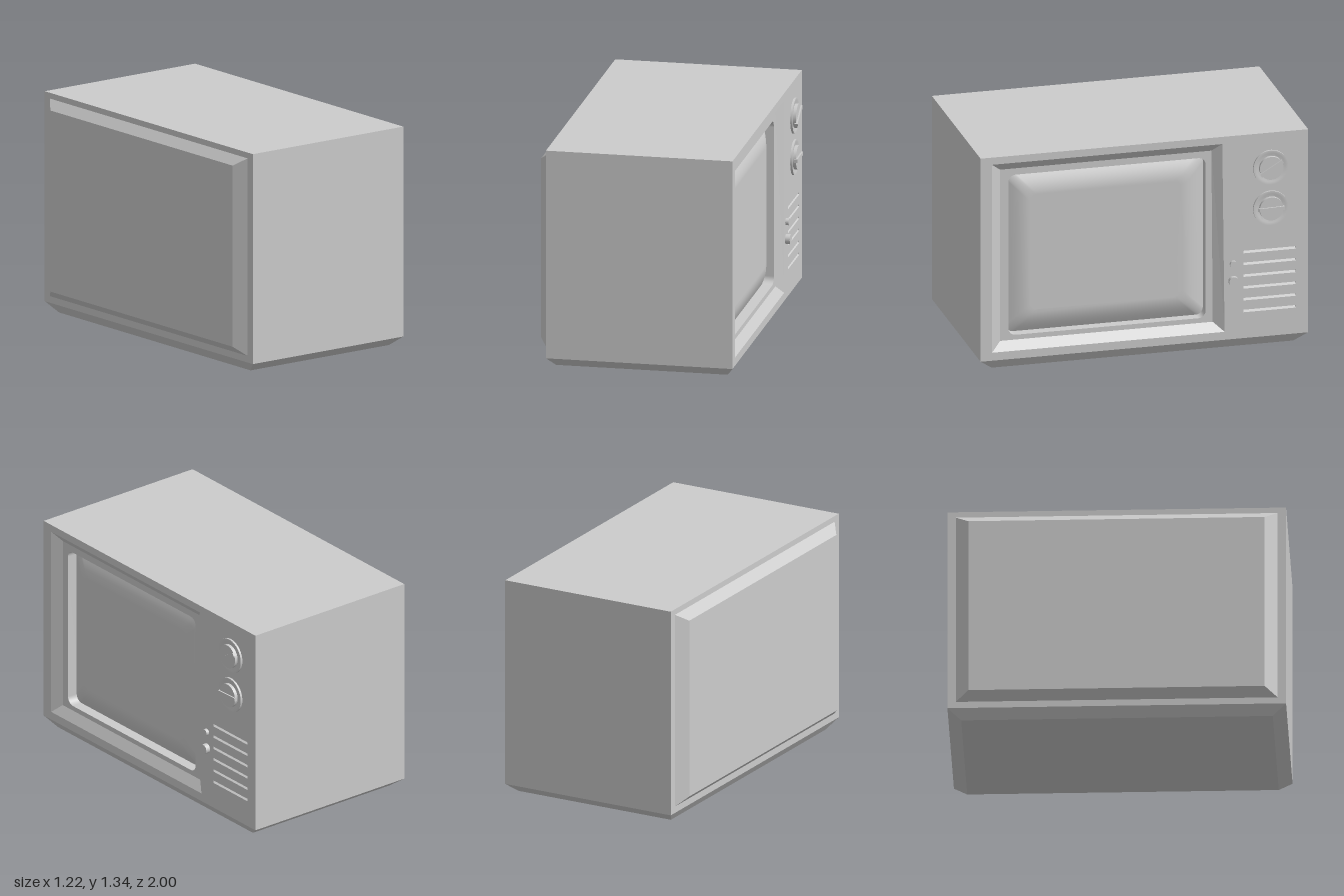
import * as THREE from 'three';
import { toCreasedNormals } from 'three/addons/utils/BufferGeometryUtils.js';

const material = new THREE.MeshStandardMaterial({ color: 0xcccccc });
const FACE = 0.57, BACK = -0.555, LEDGE = 0.53, SCREEN = 0.465;

// Corner lists, counter-clockwise as [u, v]
const rect = (u0, u1, v0, v1) => [[u0, v0], [u1, v0], [u1, v1], [u0, v1]];

function roundedRect(u0, u1, v0, v1, r, steps = 6) {
  const points = [];
  const centres = [[u1 - r, v0 + r], [u1 - r, v1 - r], [u0 + r, v1 - r], [u0 + r, v0 + r]];
  centres.forEach(([cu, cv], k) => {
    for (let i = 0; i <= steps; i++) {
      const a = (k - 1 + i / steps) * Math.PI / 2;
      points.push([cu + r * Math.cos(a), cv + r * Math.sin(a)]);
    }
  });
  return points;
}

// Place a corner list at a depth (facing forward) or at a height (facing up)
const atDepth = (points, z) => points.map(([u, v]) => [u, v, z]);
const atHeight = (points, y) => points.map(([u, v]) => [u, y, -v]);

// Skin a series of matching closed loops, with optional end caps
function loft(loops, { start = false, end = false, smooth = false } = {}) {
  const n = loops[0].length, last = (loops.length - 1) * n, index = [];
  for (let i = 0; i < loops.length - 1; i++) {
    for (let j = 0; j < n; j++) {
      const a = i * n + j, b = i * n + (j + 1) % n;
      index.push(a, b, b + n, a, b + n, a + n);
    }
  }
  for (let j = 1; j < n - 1; j++) {
    if (start) index.push(0, j + 1, j);
    if (end) index.push(last, last + j, last + j + 1);
  }
  let geometry = new THREE.BufferGeometry();
  geometry.setAttribute('position', new THREE.Float32BufferAttribute(loops.flat(2), 3));
  geometry.setIndex(index);
  if (!smooth) geometry = geometry.toNonIndexed();
  geometry.computeVertexNormals();
  return geometry;
}

// Flat forward-facing panel with openings
function panel(outline, holes, z) {
  const toVectors = (points) => points.map(([u, v]) => new THREE.Vector2(u, v));
  const shape = new THREE.Shape(toVectors(outline));
  holes.forEach((hole) => shape.holes.push(new THREE.Path(toVectors(hole))));
  return new THREE.ShapeGeometry(shape).translate(0, 0, z);
}

export function createModel() {
  const model = new THREE.Group();
  model.name = 'television';
  // The set is built facing +z, then turned to face +x
  const set = new THREE.Group();
  set.name = 'televisionSet';
  set.rotation.y = Math.PI / 2;
  model.add(set);

  const add = (name, geometry, parent = set) => {
    const mesh = new THREE.Mesh(geometry, material);
    mesh.name = name;
    parent.add(mesh);
    return mesh;
  };

  // Outlines on the front face
  const body = rect(-1, 1, 0.06, 1.335);
  const bezelOuter = [[-0.93, 0.11], [0.49, 0.11], [0.476, 1.29], [-0.93, 1.29]];
  const bezelInner = [[-0.87, 0.165], [0.428, 0.165], [0.42, 1.24], [-0.87, 1.24]];
  const opening = (inset) =>
    roundedRect(-0.82 + inset, 0.385 - inset, 0.195 + inset, 1.2 - inset, 0.045);
  const slots = [];
  for (let i = 0; i < 6; i++) {
    const v = 0.6 - i * 0.074;
    slots.push(rect(0.605, 0.925, v - 0.008, v + 0.008));
  }

  // Cabinet, tapered base and raised back cover
  add('cabinet', loft([atDepth(body, BACK), atDepth(body, FACE)], { start: true }));
  add('base', loft([
    atHeight(rect(-0.92, 0.92, -0.525, 0.51), 0),
    atHeight(rect(-1, 1, -FACE, -BACK), 0.06),
  ], { start: true }));
  add('backCover', loft([
    atDepth(rect(-0.875, 0.875, 0.15, 1.25), -0.61),
    atDepth(rect(-0.95, 0.95, 0.1, 1.3), BACK),
  ], { start: true }));
  add('frontPanel', panel(body, [bezelOuter, ...slots], FACE));

  // Sunken bezel, ledge and screen well
  add('bezel', loft([atDepth(bezelOuter, FACE), atDepth(bezelInner, LEDGE)]));
  add('screenLedge', panel(bezelInner, [opening(0)], LEDGE));
  add('screenWell', loft([atDepth(opening(0), LEDGE), atDepth(opening(0), SCREEN)], { smooth: true }));

  // Pillow-shaped screen
  const screenLoops = [];
  for (let i = 0; i <= 8; i++) {
    const t = i / 8;
    const rise = 0.045 * Math.sin(t * Math.PI / 2);
    screenLoops.push(atDepth(opening(0.14 * t), SCREEN + rise));
  }
  add('screen', loft(screenLoops, { end: true, smooth: true }));

  // Speaker slots, each with a floor ramping back and up
  slots.forEach((slot) => {
    const top = slot[2][1];
    add('speakerSlot', loft([
      atDepth(slot, FACE),
      atDepth(slot.map(([u]) => [u, top]), FACE - 0.03),
    ]));
  });

  // Tuning dials with a stepped rim and a grip bar
  const dialProfile = [
    [0.107, 0], [0.107, 0.013], [0.09, 0.013], [0.077, 0.008],
    [0.072, 0.008], [0.072, 0.028], [0, 0.028],
  ].map(([r, h]) => new THREE.Vector2(r, h));
  [[1.12, 0.54], [0.865, 0.03]].forEach(([v, angle]) => {
    const dial = new THREE.Group();
    dial.name = 'dial';
    dial.position.set(0.77, v, FACE);
    dial.rotation.z = angle;
    set.add(dial);
    const knob = new THREE.LatheGeometry(dialProfile, 32).rotateX(Math.PI / 2);
    add('dialKnob', toCreasedNormals(knob, 0.5), dial);
    add('dialGrip', new THREE.BoxGeometry(0.155, 0.022, 0.02), dial).position.z = 0.028;
  });

  // Push buttons beside the speaker
  [[0.533, 0.021, 0.02], [0.427, 0.03, 0.029]].forEach(([v, r, depth]) => {
    const button = new THREE.CylinderGeometry(r, r, depth, 20).rotateX(Math.PI / 2);
    add('button', button).position.set(0.542, v, FACE + depth / 2);
  });

  return model;
}
